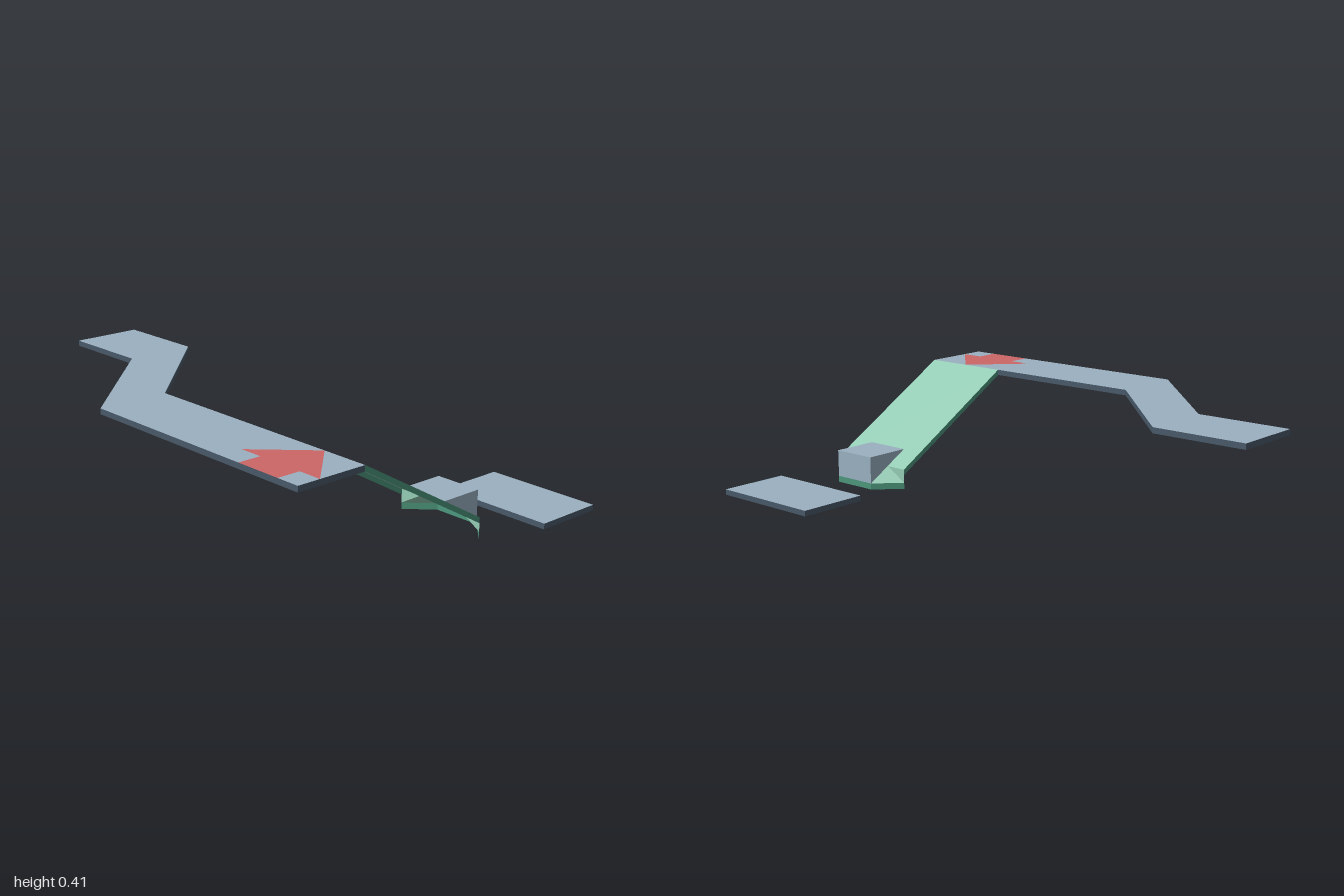
import * as THREE from 'three';

const mat = (name, color) => {
  const m = new THREE.MeshStandardMaterial({ color, side: THREE.DoubleSide });
  m.name = name;
  return m;
};

export function createModel() {
  const slate = mat('slate', 0x9ab0c0);
  const darkSlate = mat('dark slate', 0x485868);
  const green = mat('mint green', 0x94ccb5);
  const darkGreen = mat('deep green', 0x4c967c);
  const red = mat('red', 0xcc6666);
  const model = new THREE.Group();

  const add = (name, geometry, material) => {
    const mesh = new THREE.Mesh(geometry, material);
    mesh.name = name;
    model.add(mesh);
  };
  // Flat horizontal sheet from outlines of [x, z]
  const sheet = (name, outlines, y, material) => {
    const shapes = outlines.map(o => new THREE.Shape(o.map(([x, z]) => new THREE.Vector2(x, -z))));
    add(name, new THREE.ShapeGeometry(shapes).rotateX(-Math.PI / 2).translate(0, y, 0), material);
  };
  // Convex faces given by their corners
  const faces = (name, polys, material) => {
    const pos = [];
    for (const p of polys)
      for (let i = 1; i < p.length - 1; i++) pos.push(...p[0], ...p[i], ...p[i + 1]);
    const g = new THREE.BufferGeometry();
    g.setAttribute('position', new THREE.Float32BufferAttribute(pos, 3));
    g.computeVertexNormals();
    add(name, g, material);
  };
  // Vertical rim around an outline, counterclockwise as seen from above
  const rim = (name, o, y0, y1, material) => faces(name, o.map(([x, z], i) => {
    const [u, w] = o[(i + 1) % o.length];
    return [[x, y0, z], [u, y0, w], [u, y1, w], [x, y1, z]];
  }), material);

  // Raised walkway, open underneath, with the arrow set into its top
  const H = 0.405, L = 0.525, R = 0.9, l = 0.618, r = 0.807, M = 0.7125;
  const back = [[R, 0.4], [-0.148, 0.4], [-0.62, -0.075], [-1, -0.075]];
  const front = [[-1, 0.21], [-0.62, 0.21], [-0.148, 0.687]];
  rim('walkwayRim', [...front, [R, 0.687], ...back], H - 0.022, H, darkSlate);
  sheet('walkwayTop', [
    [...front, [l, 0.687], [l, 0.595], [L, 0.595], [M, 0.4], ...back.slice(1)],
    [[M, 0.4], [R, 0.595], [R, 0.4]],
    [[r, 0.595], [r, 0.687], [R, 0.687], [R, 0.595]],
  ], H, slate);
  sheet('arrow', [[[l, 0.687], [r, 0.687], [r, 0.595], [R, 0.595], [M, 0.4], [L, 0.595], [l, 0.595]]], H, red);

  // Separate low landing
  const pad = [[L, -0.405], [0.998, -0.405], [0.998, -0.687], [L, -0.687]].reverse();
  rim('landingRim', pad, 0, 0.022, darkSlate);
  sheet('landingTop', [pad], 0.022, slate);

  // Sloping ramp: wide run, then a narrow toe
  const z0 = 0.4, z1 = -0.168, z2 = -0.262, foot = 0.025;
  const rampY = z => foot + (H - foot) * (z - z2) / (z0 - z2);
  const y1 = rampY(z1);
  faces('rampTop', [
    [[L, H, z0], [R, H, z0], [R, y1, z1], [L, y1, z1]],
    [[l, y1, z1], [r, y1, z1], [r, foot, z2], [l, foot, z2]],
  ], green);

  // Ramp sides and chamfered toe corners, mirrored about the ramp's middle
  const sides = [], corners = [];
  for (const [o, i, s] of [[R, r, 1], [L, l, -1]]) {
    const turn = p => (s > 0 ? p : p.reverse());
    sides.push(turn([[o, H, z0], [o, H - 0.022, z0], [o, y1 - 0.022, z1], [o, y1, z1]]));
    sides.push(turn([[o, foot, z1], [o, 0, z1], [i, 0, z2], [i, foot, z2]]));
    corners.push(turn([[o, foot, z1], [i, foot, z2], [i, y1, z1]]));
    corners.push(turn([[o, y1, z1], [o, foot, z1], [i, y1, z1]]));
  }
  sides.push([[r, foot, z2], [r, 0, z2], [l, 0, z2], [l, foot, z2]]);
  faces('rampSides', sides, darkGreen);
  faces('rampCorners', corners, green);

  // Wedge block on the toe, level with the ramp at its upper end
  const z3 = -0.075, top = rampY(z3);
  faces('wedgeBlock', [
    [[l, top, z3], [r, top, z3], [r, top, z2], [l, top, z2]],
    [[r, top, z2], [r, foot, z2], [l, foot, z2], [l, top, z2]],
    [[r, top, z3], [r, foot, z2], [r, top, z2]],
    [[l, top, z3], [l, top, z2], [l, foot, z2]],
  ], slate);

  return model;
}
